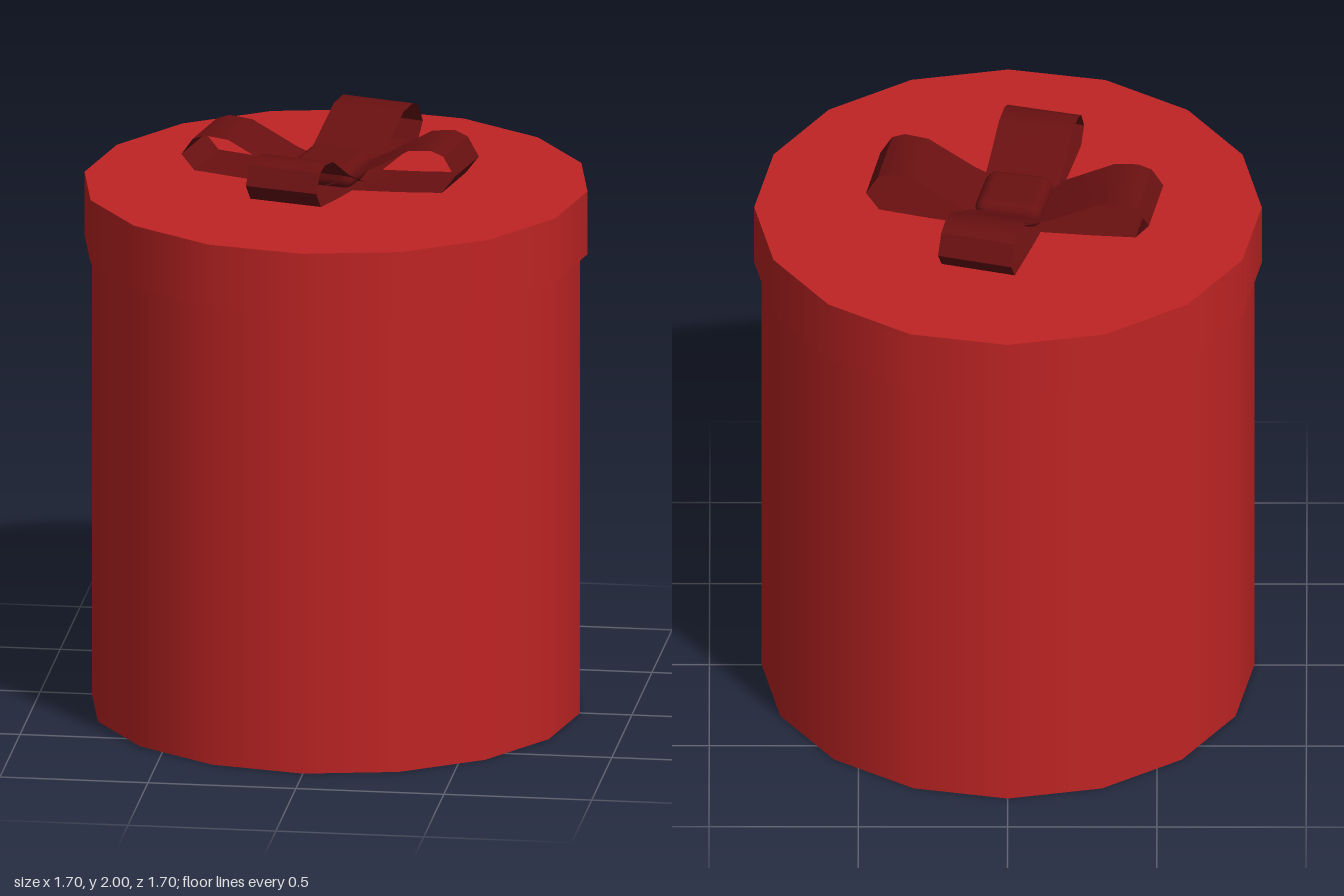
import * as THREE from 'three';
import { toCreasedNormals } from 'three/addons/utils/BufferGeometryUtils.js';
import { RoundedBoxGeometry } from 'three/addons/geometries/RoundedBoxGeometry.js';

const SIDES = 16, LID_TOP = 1.825, RIBBON_WIDTH = 0.255;

// Side profile of a ribbon loop: [distance from the knot, height as a share of the peak]
const LOOP = [[0.02, 0.08], [0.16, 0.42], [0.32, 0.95], [0.4, 1], [0.445, 0.9],
  [0.485, 0.52], [0.44, 0.18], [0.28, 0.11], [0.02, 0.03]];

// Thin ribbon swept across its width along the loop profile
function loopGeometry(length, height) {
  const positions = [], index = [];
  LOOP.forEach(([r, h], i) => {
    const x = r * length / 0.485, y = h * height;
    positions.push(x, y, RIBBON_WIDTH / 2, x, y, -RIBBON_WIDTH / 2);
    if (i < LOOP.length - 1) {
      const a = i * 2;
      index.push(a, a + 2, a + 1, a + 1, a + 2, a + 3);
    }
  });
  const geometry = new THREE.BufferGeometry();
  geometry.setAttribute('position', new THREE.Float32BufferAttribute(positions, 3));
  geometry.setIndex(index);
  return toCreasedNormals(geometry, 0.6);
}

export function createModel() {
  const model = new THREE.Group();
  model.name = 'giftBox';
  const red = new THREE.MeshStandardMaterial({ color: 0xc02424 });
  red.name = 'boxRed';
  const darkRed = new THREE.MeshStandardMaterial({ color: 0x6a1011, side: THREE.DoubleSide });
  darkRed.name = 'ribbonDarkRed';

  // Round box and its overhanging lid
  function drum(name, radius, bottom, top) {
    const mesh = new THREE.Mesh(new THREE.CylinderGeometry(radius, radius, top - bottom, SIDES), red);
    mesh.name = name;
    mesh.position.y = (bottom + top) / 2;
    model.add(mesh);
  }
  drum('body', 0.825, 0, 1.65);
  drum('lid', 0.85, 1.605, LID_TOP);

  // Bow of four loops, each slightly uneven, around a soft square knot
  const bow = new THREE.Group();
  bow.name = 'bow';
  bow.position.set(-0.02, LID_TOP, -0.02);
  const loops = [
    ['leftLoop', -0.19, 0.48, 0.175],
    ['backLoop', Math.PI / 2 - 0.28, 0.475, 0.175],
    ['rightLoop', Math.PI - 0.19, 0.485, 0.152],
    ['frontLoop', -Math.PI / 2 - 0.255, 0.44, 0.165],
  ];
  for (const [name, turn, length, height] of loops) {
    const loop = new THREE.Mesh(loopGeometry(length, height), darkRed);
    loop.name = name;
    loop.rotation.y = turn;
    bow.add(loop);
  }
  const knot = new THREE.Mesh(new RoundedBoxGeometry(0.23, 0.09, 0.23, 3, 0.04), darkRed);
  knot.name = 'knot';
  knot.position.y = 0.045;
  knot.rotation.y = -0.22;
  bow.add(knot);
  model.add(bow);
  return model;
}
